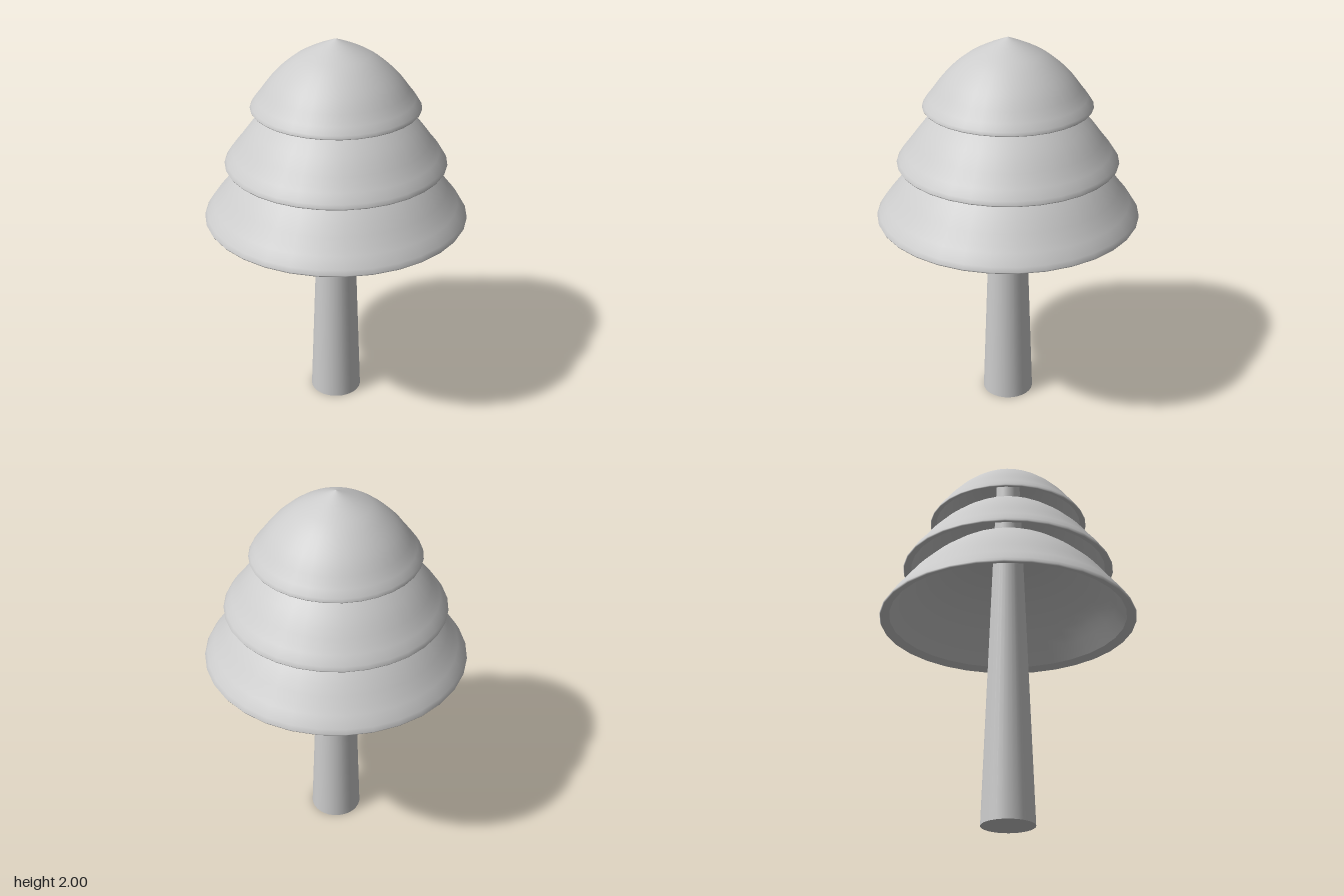
import * as THREE from 'three';

const SIDES = 32;
const material = new THREE.MeshStandardMaterial({ color: 0xcccccc });

// Canopy profiles as [radius, height] fractions; outer runs upward, inner downward
const OUTER = [[1, 0.015], [0.955, 0.105], [0.89, 0.205], [0.79, 0.37], [0.677, 0.52],
  [0.54, 0.665], [0.4, 0.78], [0.2, 0.9], [0, 1]];
const LIP = [[0.925, 0.035], [0.975, 0], [0.993, 0]];
const INNER = [[0, 0.93], [0.2, 0.84], [0.4, 0.715], [0.54, 0.59], [0.67, 0.44],
  [0.78, 0.28], [0.87, 0.13], [0.925, 0.035]];

const toPoints = (list, r, h) => list.map(([x, y]) => new THREE.Vector2(x * r, y * h));
const smooth = (points) => new THREE.SplineCurve(points).getPoints(16)
  .map((p) => new THREE.Vector2(Math.max(p.x, 0), p.y));

function lathe(name, points) {
  const mesh = new THREE.Mesh(new THREE.LatheGeometry(points, SIDES), material);
  mesh.name = name;
  return mesh;
}

// Hollow domed tier with a thin rolled rim
function canopyTier(name, radius, base, height) {
  const tier = new THREE.Group();
  tier.name = name;
  tier.position.y = base;
  tier.add(
    lathe('outerDome', [...toPoints(LIP, radius, height), ...smooth(toPoints(OUTER, radius, height))]),
    lathe('innerDome', smooth(toPoints(INNER, radius, height)))
  );
  return tier;
}

export function createModel() {
  const tree = new THREE.Group();
  tree.name = 'tree';

  // Tapered trunk running up inside the tiers
  const trunkHeight = 1.93;
  const trunk = new THREE.Mesh(new THREE.CylinderGeometry(0.063, 0.135, trunkHeight, SIDES), material);
  trunk.name = 'trunk';
  trunk.position.y = trunkHeight / 2;
  tree.add(trunk);

  // Three stacked tiers, narrowing upward
  tree.add(
    canopyTier('lowerTier', 0.67, 1.077, 0.54),
    canopyTier('middleTier', 0.558, 1.365, 0.45),
    canopyTier('upperTier', 0.422, 1.655, 0.345)
  );
  return tree;
}
